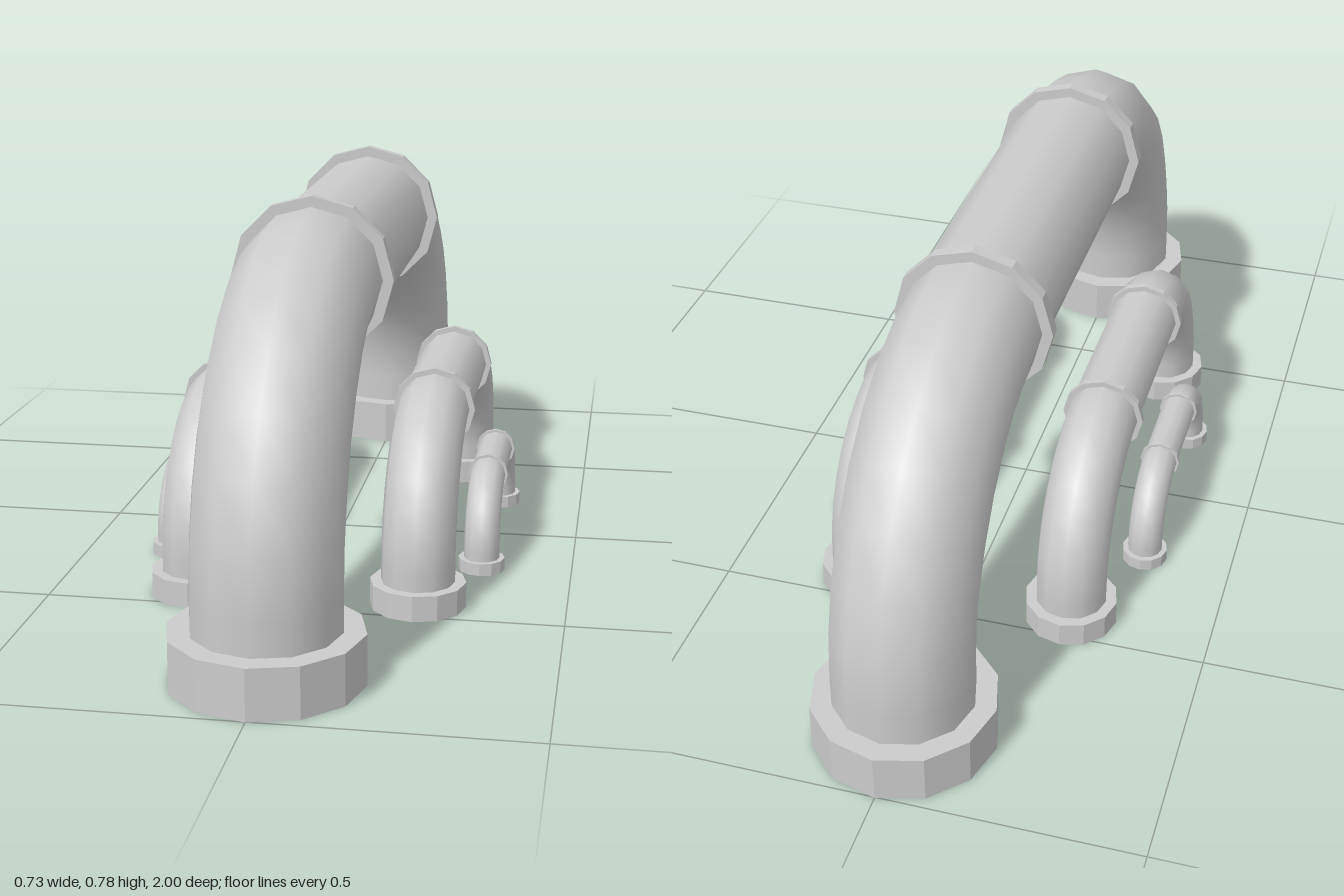
import * as THREE from 'three';
import { mergeGeometries } from 'three/addons/utils/BufferGeometryUtils.js';

const SIDES = 12;
const R = 0.136;       // pipe radius
const BEND = 0.465;    // elbow centreline radius
const RUN = 0.36;      // half length of the level run
const TOP = 0.62;      // height of the level run
const BASE_H = 0.095;

const smooth = new THREE.MeshStandardMaterial({ color: 0xcccccc, side: THREE.DoubleSide });
const faceted = new THREE.MeshStandardMaterial({ color: 0xcccccc, side: THREE.DoubleSide, flatShading: true });

function add(parent, name, geometry, material, x = 0, y = 0, z = 0) {
  const mesh = new THREE.Mesh(geometry, material);
  mesh.name = name;
  mesh.position.set(x, y, z);
  parent.add(mesh);
  return mesh;
}

// Flat ring facing up or down at height y
function annulus(outer, y, up) {
  return new THREE.RingGeometry(R, outer, SIDES, 1).rotateX(up ? -Math.PI / 2 : Math.PI / 2).translate(0, y, 0);
}

const openTube = (radius, length) =>
  new THREE.CylinderGeometry(radius, radius, length, SIDES, 1, true);

// Leg, elbow, foot and collar for one end of a pipe
function pipeEnd() {
  const end = new THREE.Group();
  end.name = 'pipeEnd';
  const legZ = RUN + BEND;
  const bendY = TOP - BEND;

  add(end, 'leg', openTube(R, bendY - BASE_H), smooth, 0, (bendY + BASE_H) / 2, legZ);

  const elbow = new THREE.TorusGeometry(BEND, R, SIDES, 8, Math.PI / 2).rotateY(-Math.PI / 2);
  add(end, 'elbow', elbow, smooth, 0, bendY, RUN);

  // Foot: hollow and open underneath
  const foot = mergeGeometries([
    openTube(0.177, BASE_H).translate(0, BASE_H / 2, 0),
    annulus(0.177, BASE_H, true),
  ]);
  add(end, 'foot', foot, faceted, 0, 0, legZ);

  const collar = mergeGeometries([
    openTube(0.157, 0.026),
    annulus(0.157, 0.013, true),
    annulus(0.157, -0.013, false),
  ]).rotateX(Math.PI / 2);
  add(end, 'collar', collar, faceted, 0, TOP, 0.358);
  return end;
}

function pipe(name, x, scale) {
  const group = new THREE.Group();
  group.name = name;
  add(group, 'levelRun', openTube(R, RUN * 2).rotateX(Math.PI / 2), smooth, 0, TOP, 0);
  const front = pipeEnd();
  const back = pipeEnd();
  back.rotation.y = Math.PI;
  group.add(front, back);
  group.scale.setScalar(scale);
  group.position.x = x;
  return group;
}

export function createModel() {
  const model = new THREE.Group();
  model.name = 'pipeArches';
  model.add(pipe('largePipe', 0, 1));
  for (const [side, s] of [['left', 1], ['right', -1]]) {
    model.add(pipe(side + 'MediumPipe', s * 0.216, 0.525));
    model.add(pipe(side + 'SmallPipe', s * 0.319, 0.263));
  }
  return model;
}
